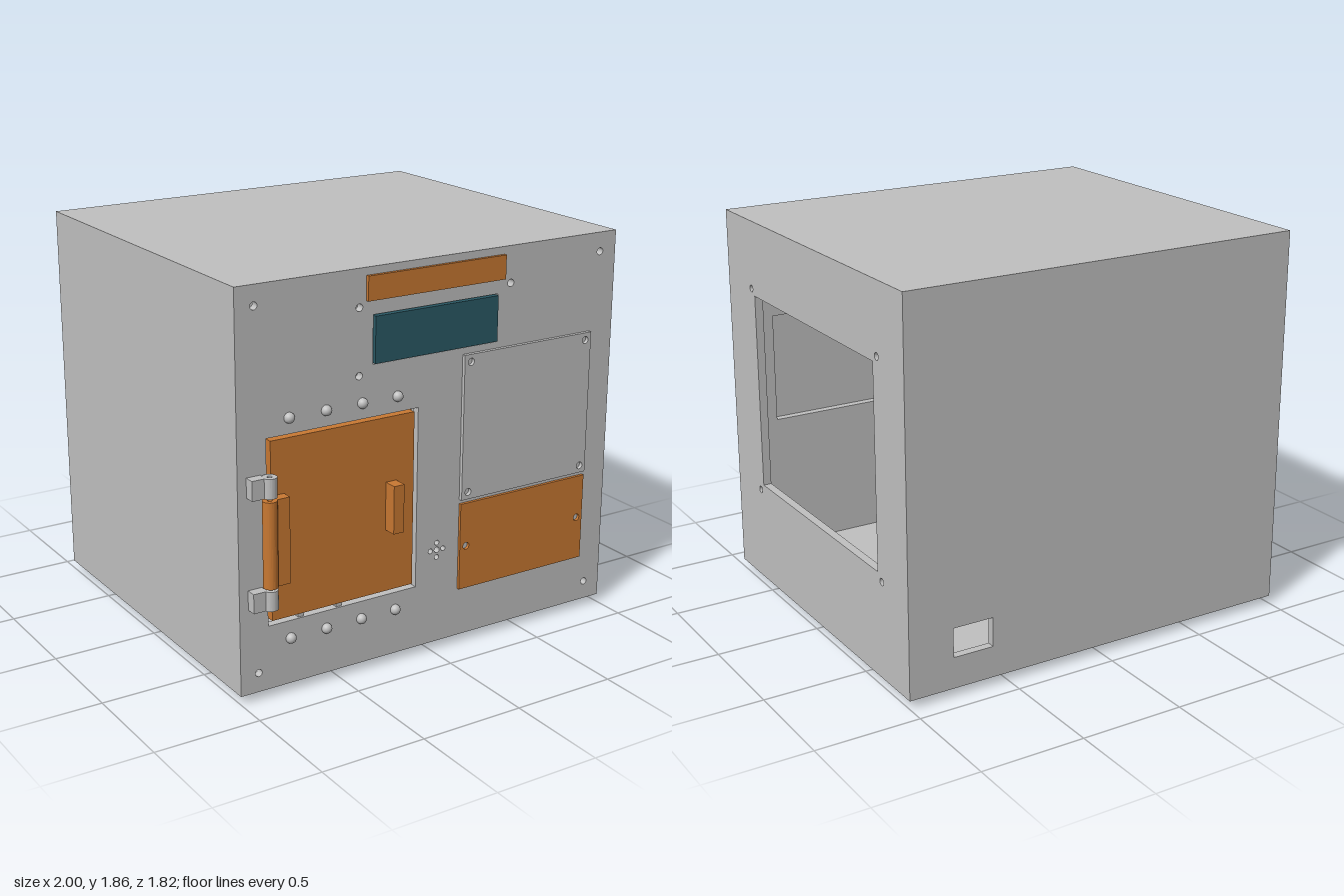
import * as THREE from 'three';

const mat = (name, color) => {
  const m = new THREE.MeshStandardMaterial({ color });
  m.name = name;
  return m;
};

export function createModel() {
  const grey = mat('light grey', 0xc0c0c0);
  const orange = mat('orange', 0xc87832);
  const teal = mat('dark teal', 0x2b5a66);
  const model = new THREE.Group();
  model.name = 'controlCabinet';

  const add = (name, geometry, material, x = 0, y = 0, z = 0) => {
    const m = new THREE.Mesh(geometry, material);
    m.name = name;
    m.position.set(x, y, z);
    model.add(m);
    return m;
  };
  // Box given by its limits on each axis
  const box = (name, material, x0, x1, y0, y1, z0, z1) =>
    add(name, new THREE.BoxGeometry(x1 - x0, y1 - y0, z1 - z0), material,
      (x0 + x1) / 2, (y0 + y1) / 2, (z0 + z1) / 2);
  const cyl = (name, material, r, h, x, y, z, sides = 32) =>
    add(name, new THREE.CylinderGeometry(r, r, h, sides), material, x, y, z);

  // Sheet with rectangular cutouts [x0, x1, y0, y1] and round holes [x, y, r]
  const sheet = (x0, x1, y0, y1, depth, cuts = [], holes = []) => {
    const rect = (p, a, b, c, d) => p.moveTo(a, c).lineTo(b, c).lineTo(b, d).lineTo(a, d).closePath();
    const shape = rect(new THREE.Shape(), x0, x1, y0, y1);
    cuts.forEach(c => shape.holes.push(rect(new THREE.Path(), ...c)));
    holes.forEach(([x, y, r]) => shape.holes.push(new THREE.Path().absarc(x, y, r, 0, Math.PI * 2, true)));
    return new THREE.ExtrudeGeometry(shape, { depth, bevelEnabled: false, curveSegments: 10 });
  };
  const grid = (xs, ys, r) => xs.flatMap(x => ys.map(y => [x, y, r]));

  // Cabinet shell
  const T = 0.04, BACK = -0.91, FRONT = 0.84, LOW = 0.04, TOP = 1.86;
  const speaker = [[0.025, 0.495, 0.014], [-0.01, 0.495, 0.012], [0.06, 0.495, 0.012],
    [0.025, 0.53, 0.012], [0.025, 0.46, 0.012]];
  add('frontWall', sheet(-1, 1, LOW, TOP, T,
    [[-0.86, -0.09, 0.34, 1.195], [-0.33, 0.33, 1.43, 1.65], [0.22, 0.8, 0.77, 1.31]],
    [...grid([-0.91, 0.91], [0.13, 1.77], 0.017), ...grid([-0.4], [1.39, 1.69], 0.017),
      [0.4, 1.69, 0.017], ...speaker]), grey, 0, 0, FRONT - T);
  add('backWall', sheet(-1, 1, LOW, TOP, T, [[0.58, 0.78, 0.19, 0.33]]), grey, 0, 0, BACK);
  const side = add('openSideWall', sheet(-FRONT + T, -BACK - T, LOW, TOP, T, [[-0.545, 0.64, 0.545, 1.5]],
    grid([-0.58, 0.675], [0.51, 1.53], 0.017)), grey, 1 - T);
  side.rotation.y = Math.PI / 2;
  box('closedSideWall', grey, -1, -1 + T, LOW, TOP, BACK + T, FRONT - T);
  box('roof', grey, -1 + T, 1 - T, TOP - T, TOP, BACK + T, FRONT - T);
  const floor = add('floor', sheet(-1 + T, 1 - T, BACK + T, FRONT - T, 0.05, [],
    [[0.85, -0.53, 0.014], [0.8, -0.07, 0.014], [0.8, 0.27, 0.014],
      ...grid([-0.845], [-0.53, -0.07, 0.28], 0.014), ...grid([-0.75], [0.48, 0.69], 0.014),
      [-0.44, 0.69, 0.014]]), grey, 0, LOW + 0.05);
  floor.rotation.x = Math.PI / 2;

  for (const x of [-0.91, 0.91]) for (const z of [0.685, -0.775]) cyl('foot', grey, 0.053, 0.04, x, 0.02, z);

  // Nameplate and display with its rear bracket
  box('nameplate', orange, -0.365, 0.36, 1.715, 1.825, FRONT, 0.856);
  box('display', teal, -0.325, 0.325, 1.435, 1.645, 0.77, 0.852);
  add('displayBracket', sheet(-0.43, 0.43, 1.37, 1.71, 0.015, [[-0.325, 0.325, 1.435, 1.645]],
    grid([-0.4, 0.4], [1.4, 1.69], 0.014)), grey, 0, 0, 0.78);

  // Bolt-on covers
  add('upperCover', sheet(0.145, 0.865, 0.715, 1.4, 0.018, [],
    grid([0.18, 0.832], [0.75, 1.365], 0.017)), grey, 0, 0, FRONT);
  add('lowerCover', sheet(0.145, 0.865, 0.275, 0.695, 0.014, [],
    grid([0.18, 0.832], [0.485], 0.017)), orange, 0, 0, FRONT);

  // Door, handle and lower stops
  box('door', orange, -0.84, -0.11, 0.36, 1.18, 0.8, FRONT);
  box('doorHandle', orange, -0.257, -0.203, 0.655, 0.88, FRONT, 0.905);
  for (const x of [-0.69, -0.495]) box('doorStop', grey, x - 0.014, x + 0.014, 0.34, 0.36, 0.8, 0.83);

  // Hinge knuckles: a plate and a bored barrel, standing along y
  const HX = -0.867, HZ = 0.878;
  const knuckle = (name, material, y0, y1, x0, x1) => {
    box(name + 'Plate', material, x0, x1, y0, y1, FRONT, 0.888);
    const ring = new THREE.Shape().absarc(0, 0, 0.033, 0, Math.PI * 2, false);
    ring.holes.push(new THREE.Path().absarc(0, 0, 0.011, 0, Math.PI * 2, true));
    const g = new THREE.ExtrudeGeometry(ring, { depth: y1 - y0, bevelEnabled: false, curveSegments: 14 });
    add(name + 'Barrel', g, material, HX, y0, HZ).rotation.x = -Math.PI / 2;
  };
  knuckle('upperHinge', grey, 0.95, 1.04, -0.957, -0.89);
  knuckle('lowerHinge', grey, 0.44, 0.53, -0.957, -0.89);
  knuckle('doorHinge', orange, 0.54, 0.935, -0.845, -0.775);

  // Indicator lamps above and below the door
  for (const x of [-0.75, -0.567, -0.385, -0.203]) for (const y of [0.258, 1.268])
    add('lamp', new THREE.SphereGeometry(0.024, 20, 14), grey, x, y, 0.846);

  // Lock actuator inside the cabinet
  box('actuatorPost', grey, -0.09, 0.05, 0.09, 0.82, 0.437, 0.65);
  box('actuatorFlange', grey, -0.09, 0.05, 0.82, 0.84, 0.403, 0.685);
  box('actuatorNeck', grey, -0.09, 0.05, 0.84, 0.91, 0.43, 0.66);
  box('actuatorBody', teal, -0.09, 0.05, 0.91, 1.04, 0.432, 0.66);
  cyl('actuatorShaft', grey, 0.025, 0.08, -0.02, 1.08, 0.55);
  cyl('lowerHorn', orange, 0.08, 0.025, -0.02, 1.097, 0.55, 16);
  cyl('upperHorn', orange, 0.1, 0.03, -0.02, 1.137, 0.55, 8);

  // Circuit board on standoffs
  box('circuitBoard', teal, -0.1, 0.47, 0.125, 0.14, -0.25, 0.3);
  for (const x of [-0.06, 0.43]) for (const z of [-0.21, 0.26]) cyl('standoff', grey, 0.02, 0.035, x, 0.1075, z, 12);

  return model;
}
